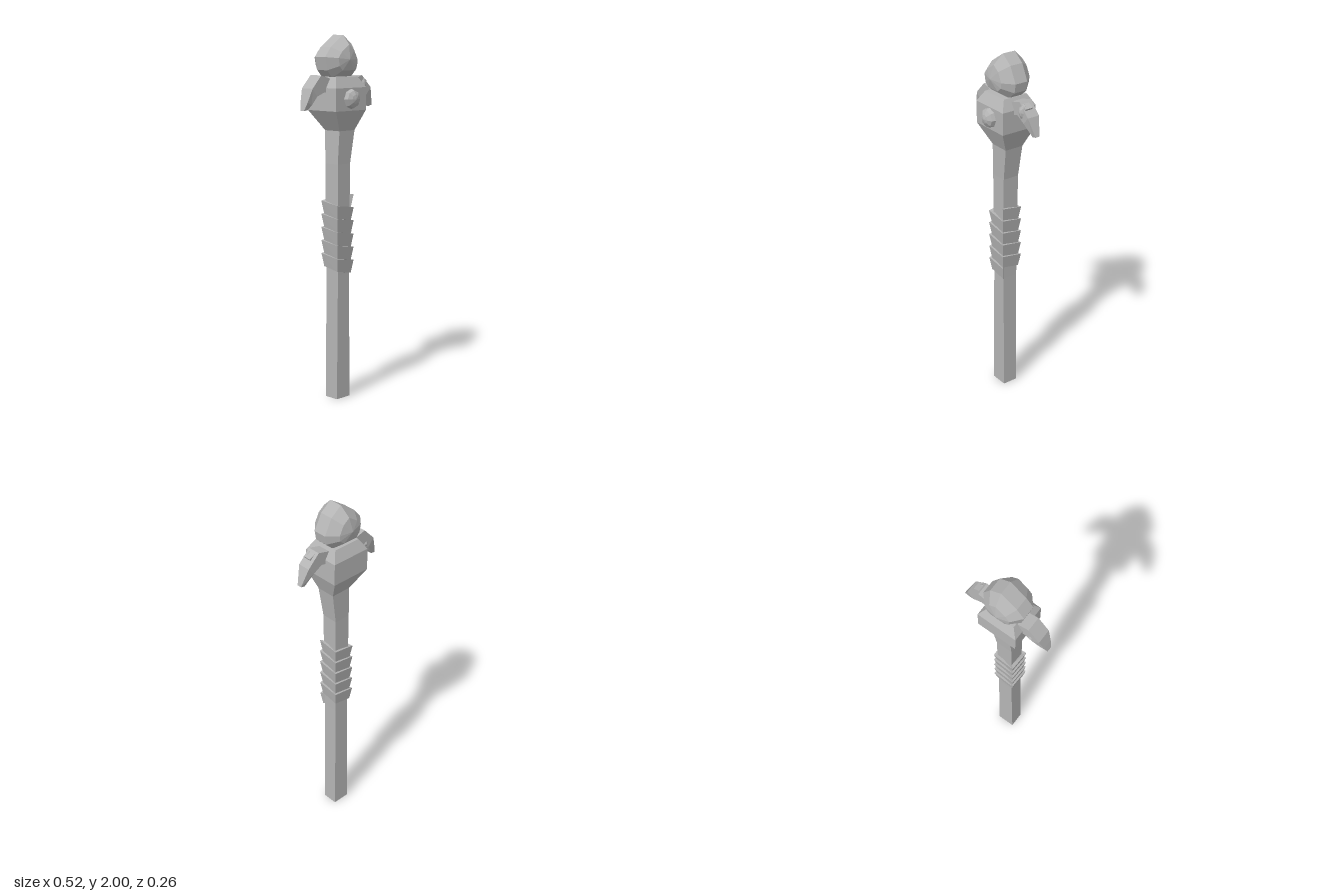
import * as THREE from 'three';

// Faceted skin through equal-sized rings, closed at both ends, facing outward
function loft(rings) {
  const tris = [];
  const n = rings[0].length;
  for (let i = 0; i < rings.length - 1; i++) {
    for (let j = 0; j < n; j++) {
      const k = (j + 1) % n;
      const a = rings[i][j], b = rings[i][k], c = rings[i + 1][k], d = rings[i + 1][j];
      tris.push([a, b, c], [a, c, d]);
    }
  }
  const first = rings[0], last = rings[rings.length - 1];
  for (let j = 1; j < n - 1; j++) {
    tris.push([first[0], first[j + 1], first[j]], [last[0], last[j], last[j + 1]]);
  }
  const v = tris.map(t => t.map(p => new THREE.Vector3(...p)));
  const o = v[0][0];
  let volume = 0;
  for (const [a, b, c] of v) {
    volume += a.clone().sub(o).dot(b.clone().sub(o).cross(c.clone().sub(o)));
  }
  const points = v.flatMap(([a, b, c]) => (volume < 0 ? [a, c, b] : [a, b, c]));
  const geometry = new THREE.BufferGeometry().setFromPoints(points);
  geometry.computeVertexNormals();
  return geometry;
}

export function createModel() {
  const group = new THREE.Group();
  const stone = new THREE.MeshStandardMaterial({ color: 0xb4b4b4 });
  stone.name = 'grey stone';

  const add = (name, geometry, parent = group) => {
    const mesh = new THREE.Mesh(geometry, stone);
    mesh.name = name;
    parent.add(mesh);
    return mesh;
  };

  // Square shaft, bent near the top and swelling into the head: y, x range, z range
  const levels = [
    [0, -0.058, 0.042, -0.055, 0.033],
    [0.7, -0.05, 0.037, -0.055, 0.033],
    [1.31, -0.053, 0.042, -0.06, 0.035],
    [1.49, -0.047, 0.069, -0.067, 0.042],
    [1.6, -0.122, 0.108, -0.122, 0.09],
    [1.722, -0.122, 0.108, -0.122, 0.09],
    [1.78, -0.088, 0.074, -0.09, 0.058],
  ];
  add('shaftAndHead', loft(levels.map(([y, x0, x1, z0, z1]) =>
    [[x0, y, z1], [x1, y, z1], [x1, y, z0], [x0, y, z0]])));

  // Grip wrap: five descending turns, each flared at its upper edge
  const grip = new THREE.Group();
  grip.name = 'gripWrap';
  group.add(grip);
  const corners = [[1, 1], [1, -1], [-1, -1], [-1, 1], [1, 1]];
  const pitch = 0.073;
  for (let turn = 0; turn < 5; turn++) {
    const rings = corners.map(([sx, sz], i) => {
      const y = 1.143 - pitch * (turn + i / 4);
      const at = (out, py) => [-0.0085 + sx * (0.043 + out), py, -0.011 + sz * (0.042 + out)];
      return [at(0, y - 0.004), at(0.02, y), at(0.009, y - pitch), at(0, y - pitch)];
    });
    add('wrapBand', loft(rings), grip);
  }

  // Pointed orb: one outline, shrunk toward the front and back
  const outline = [
    [0.008, 2.0], [0.072, 1.952], [0.116, 1.865], [0.108, 1.815], [0.065, 1.775],
    [-0.075, 1.775], [-0.112, 1.815], [-0.127, 1.885], [-0.085, 1.937],
  ];
  const depths = [[0.085, 0.01], [0.068, 0.6], [0.015, 1], [-0.06, 1], [-0.113, 0.6], [-0.13, 0.01]];
  add('orb', loft(depths.map(([z, s]) =>
    outline.map(([x, y]) => [-0.01 + (x + 0.01) * s, 1.872 + (y - 1.872) * s, z]))));

  // Drooping horns: upper point, lower point, z range
  const horn = sections => loft(sections.map(([x0, y0, x1, y1, z0, z1]) =>
    [[x0, y0, z0], [x0, y0, z1], [x1, y1, z1], [x1, y1, z0]]));
  add('rightHorn', horn([
    [-0.07, 1.765, -0.08, 1.69, -0.064, 0.017],
    [-0.158, 1.79, -0.135, 1.7, -0.064, 0.017],
    [-0.222, 1.722, -0.188, 1.68, -0.064, 0.017],
    [-0.246, 1.65, -0.215, 1.635, -0.05, 0.004],
    [-0.259, 1.606, -0.233, 1.61, -0.038, -0.01],
  ]));
  add('leftHorn', horn([
    [0.07, 1.76, 0.07, 1.69, -0.054, 0.017],
    [0.153, 1.782, 0.135, 1.705, -0.054, 0.017],
    [0.222, 1.715, 0.188, 1.675, -0.054, 0.017],
    [0.257, 1.616, 0.233, 1.61, -0.033, -0.007],
  ]));

  // Rough-cut studs: stacked octagons around the z axis
  const stud = (name, x, y, z, rx, ry, depth) => {
    const rings = [[-1, 0.5], [-0.2, 1], [0.45, 0.85], [0.85, 0.45], [1, 0.08]].map(([t, s]) =>
      Array.from({ length: 8 }, (_, i) => {
        const a = (i / 8) * Math.PI * 2;
        return [x + Math.cos(a) * rx * s, y + Math.sin(a) * ry * s, z + t * depth];
      }));
    return add(name, loft(rings));
  };
  stud('frontStud', -0.006, 1.663, 0.095, 0.056, 0.055, 0.034);
  stud('leftHornStud', 0.167, 1.73, 0.005, 0.025, 0.044, 0.024);
  stud('rightHornStud', -0.168, 1.705, -0.03, 0.03, 0.03, -0.04);

  // Small knob on the upper side of the left horn
  const knob = new THREE.BoxGeometry(0.042, 0.05, 0.045);
  knob.rotateZ(-0.5);
  knob.translate(0.166, 1.742, -0.012);
  add('leftHornKnob', knob);

  return group;
}
